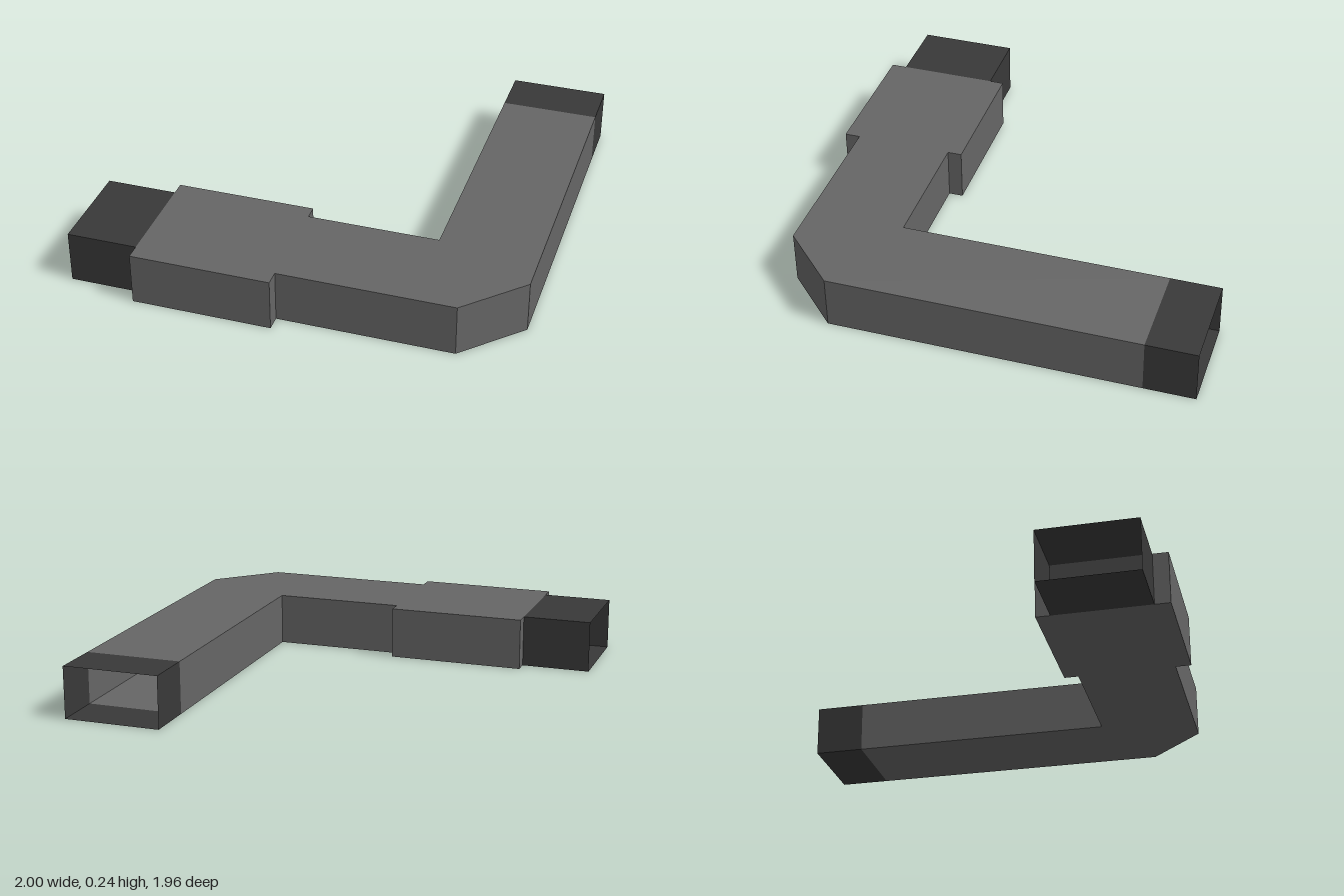
import * as THREE from 'three';
import { mergeGeometries } from 'three/addons/utils/BufferGeometryUtils.js';

const HEIGHT = 0.24;

// Thin-walled duct from a plan outline of [x, z] points; edges starting at
// an index in openEdges get no wall, so the duct stays open there.
function ductGeometry(outline, openEdges) {
  const plan = (sign) => new THREE.ShapeGeometry(
    new THREE.Shape(outline.map(([x, z]) => new THREE.Vector2(x, sign * z))));
  const parts = [
    plan(-1).rotateX(-Math.PI / 2).translate(0, HEIGHT, 0), // roof
    plan(1).rotateX(Math.PI / 2), // floor
  ];
  outline.forEach(([x, z], i) => {
    if (openEdges.includes(i)) return;
    const [nx, nz] = outline[(i + 1) % outline.length];
    const dx = nx - x, dz = nz - z;
    parts.push(new THREE.PlaneGeometry(Math.hypot(dx, dz), HEIGHT)
      .rotateY(Math.atan2(-dz, dx))
      .translate((x + nx) / 2, HEIGHT / 2, (z + nz) / 2));
  });
  return mergeGeometries(parts);
}

export function createModel() {
  const group = new THREE.Group();
  const grey = new THREE.MeshStandardMaterial({ name: 'duct grey', color: 0x666666, side: THREE.DoubleSide });
  const dark = new THREE.MeshStandardMaterial({ name: 'collar dark grey', color: 0x393939, side: THREE.DoubleSide });

  const add = (name, material, outline, openEdges) => {
    const mesh = new THREE.Mesh(ductGeometry(outline, openEdges), material);
    mesh.name = name;
    group.add(mesh);
  };

  // Bent duct with a widened section and a chamfered outer corner
  add('elbowDuct', grey, [
    [-0.68, 0.91], [-0.68, 0.98], [-0.045, 0.98], [-0.045, 0.91],
    [0.75, 0.91], [1, 0.66], [1, -0.75],
    [0.553, -0.75], [0.553, 0.465], [-0.045, 0.465],
    [-0.045, 0.4], [-0.68, 0.4], [-0.68, 0.465],
  ], [6, 12]);

  // Open collars at both ends
  add('sideCollar', dark, [[-1, 0.91], [-0.68, 0.91], [-0.68, 0.465], [-1, 0.465]], [1, 3]);
  add('backCollar', dark, [[0.553, -0.75], [1, -0.75], [1, -0.98], [0.553, -0.98]], [0, 2]);

  return group;
}
